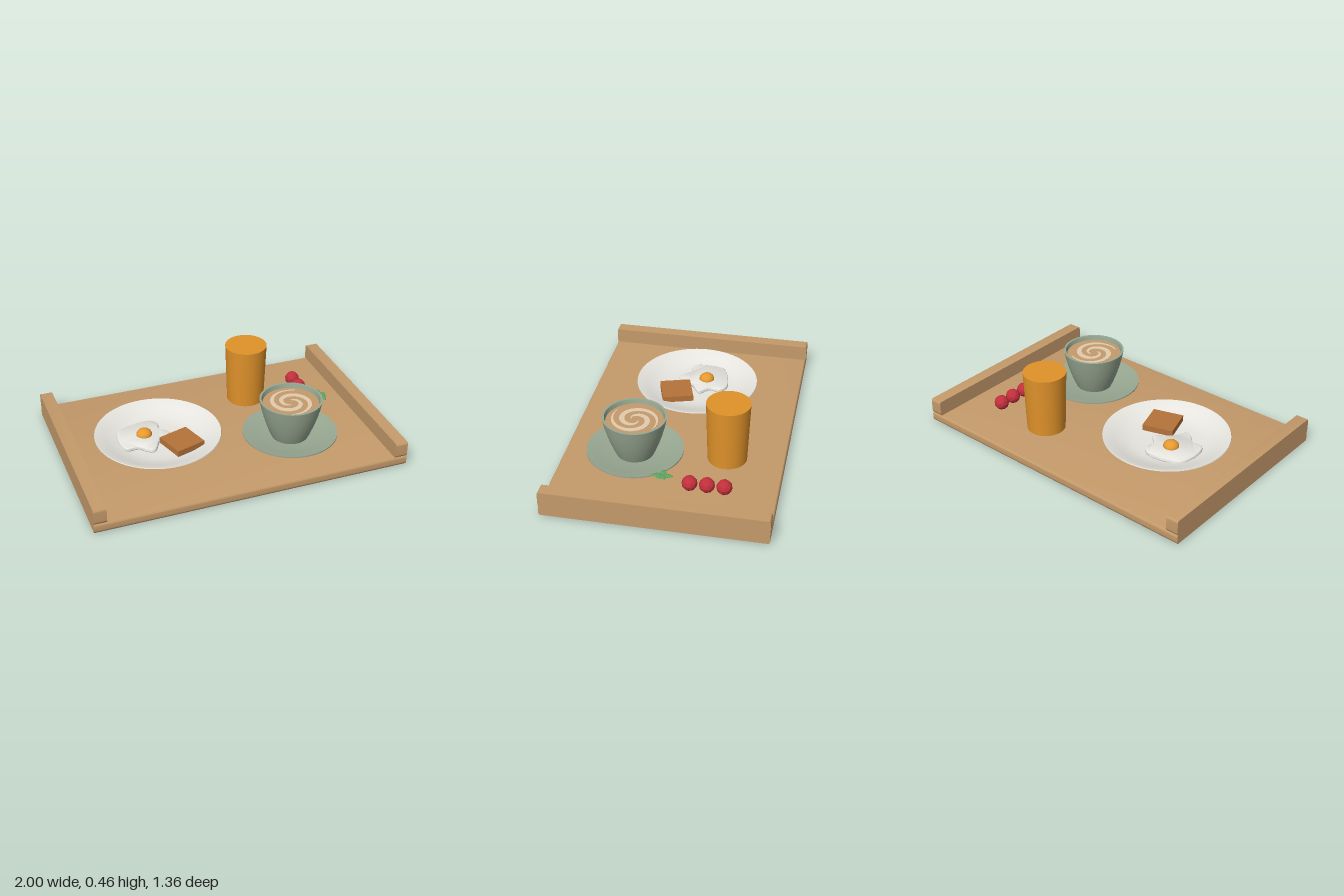
import * as THREE from 'three';
import { toCreasedNormals } from 'three/addons/utils/BufferGeometryUtils.js';

const material = (name, color, flatShading = false) => {
  const m = new THREE.MeshStandardMaterial({ color, flatShading });
  m.name = name;
  return m;
};

export function createModel() {
  const wood = material('wood', 0xc49a6a);
  const white = material('white', 0xeeece6);
  const sage = material('sage', 0x98a892);
  const yolkColor = material('yolk', 0xe89a30);
  const toastColor = material('toast', 0xb5733a);
  const coffeeColor = material('coffee', 0xc49a6c);
  const foamColor = material('foam', 0xe2ccae);
  const juiceColor = material('juice', 0xe0922a);
  const berryColor = material('berry', 0xc22f3c, true);
  const leafColor = material('leaf', 0x5fa562, true);

  const model = new THREE.Group();
  model.name = 'breakfastTray';

  const add = (name, geometry, mat, x = 0, y = 0, z = 0, parent = model) => {
    const mesh = new THREE.Mesh(geometry, mat);
    mesh.name = name;
    mesh.position.set(x, y, z);
    parent.add(mesh);
    return mesh;
  };

  // Board running along x, with softly rounded front and back edges
  const board = (width, height, depth) => {
    const d = depth / 2, rx = 0.01, ry = 0.022;
    const s = new THREE.Shape();
    s.moveTo(-d + rx, 0);
    s.lineTo(d - rx, 0);
    s.quadraticCurveTo(d, 0, d, ry);
    s.lineTo(d, height - ry);
    s.quadraticCurveTo(d, height, d - rx, height);
    s.lineTo(-d + rx, height);
    s.quadraticCurveTo(-d, height, -d, height - ry);
    s.lineTo(-d, ry);
    s.quadraticCurveTo(-d, 0, -d + rx, 0);
    const g = new THREE.ExtrudeGeometry(s, { depth: width, bevelEnabled: false, curveSegments: 6 });
    g.translate(0, 0, -width / 2).rotateY(Math.PI / 2);
    return toCreasedNormals(g, 0.7);
  };

  // Turned dish from a closed profile, listed from the base up and back inside
  const turned = (profile, segments = 48) => toCreasedNormals(
    new THREE.LatheGeometry(profile.map(([r, y]) => new THREE.Vector2(r, y)), segments), 0.6);

  // Flat slab from an outline in x and z, top face at y = 0
  const slab = (shape, depth, bevel = 0) => {
    const g = new THREE.ExtrudeGeometry(shape, {
      depth, curveSegments: 5, bevelEnabled: bevel > 0,
      bevelSize: bevel, bevelThickness: bevel, bevelOffset: -bevel, bevelSegments: 3,
    });
    return toCreasedNormals(g.rotateX(Math.PI / 2), 0.8);
  };

  // Tray
  add('trayBase', board(2, 0.06, 1.355), wood);
  for (const [side, name] of [[-1, 'rightRail'], [1, 'leftRail']]) {
    add(name, board(0.08, 0.1, 1.355), wood, side * 0.96, 0.06, 0);
  }

  // Plate
  add('plate', turned([
    [0, 0.06], [0.2, 0.06], [0.27, 0.08], [0.34, 0.107], [0.4, 0.136], [0.398, 0.142],
    [0.385, 0.139], [0.33, 0.116], [0.27, 0.094], [0.22, 0.083], [0.17, 0.08], [0, 0.08],
  ], 64), white, -0.4, 0, 0);

  // Fried egg
  const eggOutline = [
    [-0.65, -0.05], [-0.625, -0.145], [-0.515, -0.19], [-0.41, -0.2], [-0.355, -0.155],
    [-0.365, -0.09], [-0.315, -0.025], [-0.4, 0.04], [-0.455, 0.13], [-0.505, 0.115],
    [-0.55, 0.07], [-0.615, 0.07], [-0.645, 0.03],
  ].map(([x, z]) => new THREE.Vector2(x, z));
  const eggCurve = new THREE.SplineCurve([...eggOutline, eggOutline[0]]);
  const eggShape = new THREE.Shape(eggCurve.getPoints(65).slice(0, -1));
  add('eggWhite', slab(eggShape, 0.01, 0.008), white, 0, 0.1, 0);
  const yolk = add('eggYolk', new THREE.SphereGeometry(0.05, 24, 16), yolkColor, -0.475, 0.108, -0.052);
  yolk.scale.y = 0.78;

  // Toast
  const toast = add('toast', new THREE.BoxGeometry(0.2, 0.04, 0.2), toastColor, -0.28, 0.112, 0.117);
  toast.rotation.y = 0.3;

  // Cup and saucer
  const cupSet = new THREE.Group();
  cupSet.name = 'cupAndSaucer';
  cupSet.position.set(0.4, 0, 0.237);
  model.add(cupSet);
  add('saucer', turned([
    [0, 0.06], [0.15, 0.06], [0.21, 0.08], [0.3, 0.108], [0.3, 0.116],
    [0.24, 0.105], [0.17, 0.088], [0, 0.085],
  ]), sage, 0, 0, 0, cupSet);
  add('cup', turned([
    [0, 0.085], [0.115, 0.085], [0.131, 0.12], [0.152, 0.175], [0.17, 0.23], [0.186, 0.29], [0.198, 0.35],
    [0.184, 0.35], [0.176, 0.31], [0, 0.31],
  ]), sage, 0, 0, 0, cupSet);
  add('coffee', new THREE.CylinderGeometry(0.177, 0.174, 0.012, 48), coffeeColor, 0, 0.316, 0, cupSet);

  // Two-armed foam swirl, each arm widest in the middle
  const swirl = new THREE.Group();
  swirl.name = 'foamSwirl';
  cupSet.add(swirl);
  const steps = 32, turn = Math.PI * 2.1;
  for (const end of [2.15, 2.15 + Math.PI]) {
    const outer = [], inner = [];
    for (let i = 0; i <= steps; i++) {
      const t = i / steps, a = end - turn * (1 - t);
      const r = 0.025 + 0.125 * t, w = 0.003 + 0.014 * Math.sin(Math.PI * t);
      outer.push(new THREE.Vector2(Math.cos(a) * (r + w), Math.sin(a) * (r + w)));
      inner.unshift(new THREE.Vector2(Math.cos(a) * (r - w), Math.sin(a) * (r - w)));
    }
    add('foamArm', slab(new THREE.Shape([...outer, ...inner]), 0.004), foamColor, 0, 0.325, 0, swirl);
  }

  // Glass of juice
  add('juiceGlass', new THREE.CylinderGeometry(0.136, 0.122, 0.4, 32), juiceColor, 0.318, 0.26, -0.323);

  // Row of berries
  for (let i = 0; i < 3; i++) {
    add('berry', new THREE.IcosahedronGeometry(0.048, 1), berryColor, 0.678, 0.111, -0.363 + 0.104 * i);
  }

  // Sprig of leaves fanning out from one stem
  const sprig = new THREE.Group();
  sprig.name = 'leafSprig';
  sprig.position.set(0.705, 0.172, 0);
  model.add(sprig);
  for (const [angle, length] of [[-1.25, 0.07], [-0.3, 0.055], [0.45, 0.055], [1.2, 0.07], [Math.PI, 0.04]]) {
    const leaf = new THREE.SphereGeometry(0.5, 8, 6);
    leaf.scale(length, 0.012, 0.036).translate(length / 2, 0, 0);
    leaf.rotateZ(0.06).rotateY(-angle);
    add('leaf', leaf, leafColor, 0, 0, 0, sprig);
  }

  return model;
}
